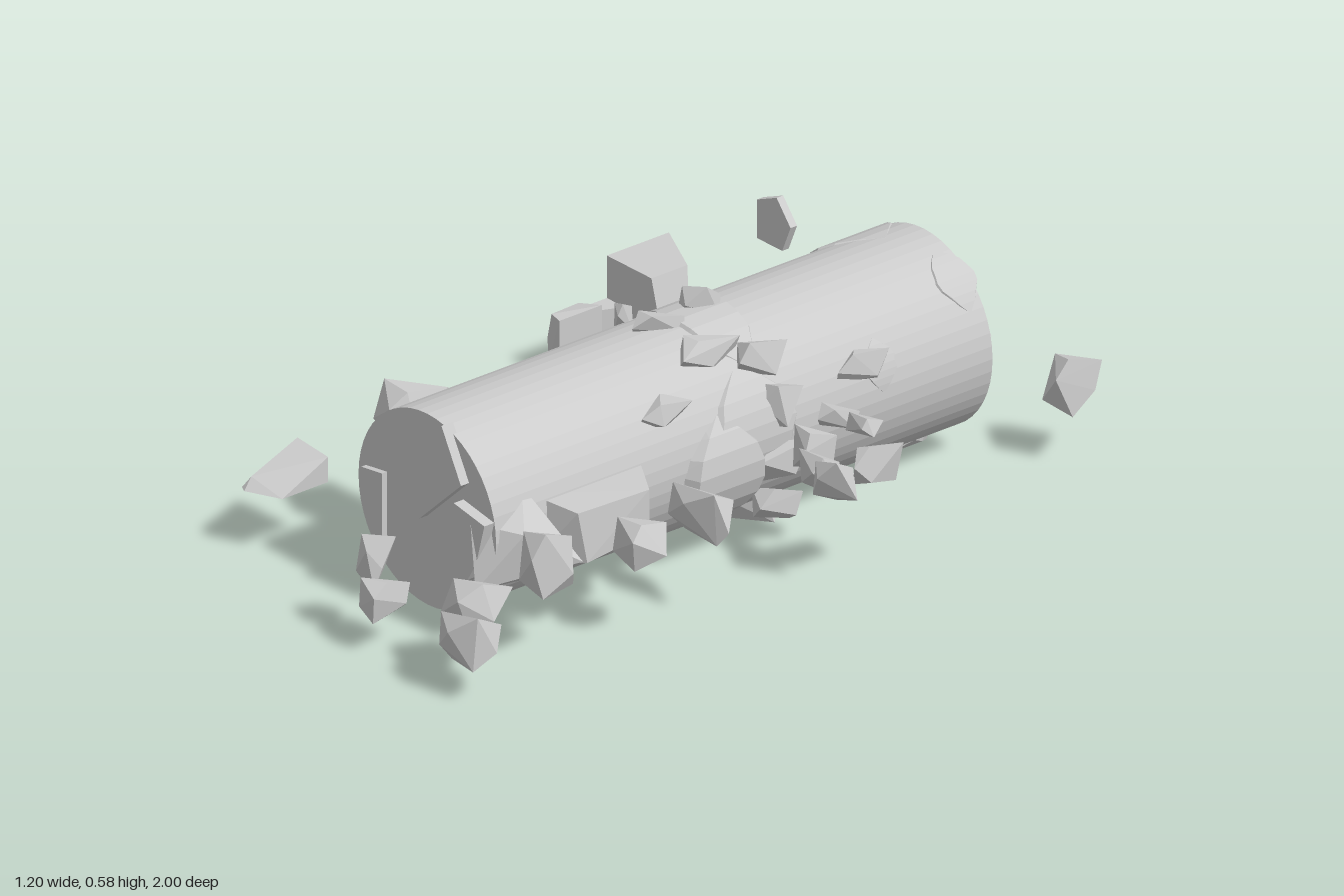
import * as THREE from 'three';
import { ConvexGeometry } from 'three/addons/geometries/ConvexGeometry.js';

const CX = 0.01, CY = 0.277, R = 0.247;
const mat = new THREE.MeshStandardMaterial({ color: 0xcccccc, flatShading: true });

function seeded(s) {
  const next = () => {
    s = (s * 16807) % 2147483647;
    return s / 2147483647;
  };
  for (let i = 0; i < 5; i++) next();
  return next;
}

function addHull(parent, name, pts) {
  const mesh = new THREE.Mesh(new ConvexGeometry(pts.map(p => new THREE.Vector3(...p))), mat);
  mesh.name = name;
  parent.add(mesh);
}

// Blocky angular chunk that exactly fills the box x0..x1, y0..y1, z0..z1
function chunk(parent, name, [x0, x1, y0, y1, z0, z1], seed, count = 10) {
  const rnd = seeded(seed * 7919 + 13);
  const boxy = c => Math.sign(c) * Math.abs(c) ** 0.7;
  const pts = [];
  for (let i = 0; i < count; i++) {
    const h = 1 - (2 * (i + 0.5)) / count, a = i * 2.4 + rnd() * 0.9, r = Math.sqrt(1 - h * h);
    const k = 0.85 + 0.3 * rnd();
    pts.push(new THREE.Vector3(boxy(r * Math.cos(a)), boxy(h), boxy(r * Math.sin(a))).multiplyScalar(k));
  }
  const b = new THREE.Box3().setFromPoints(pts), s = b.getSize(new THREE.Vector3());
  addHull(parent, name, pts.map(p => [
    x0 + (p.x - b.min.x) / s.x * (x1 - x0),
    y0 + (p.y - b.min.y) / s.y * (y1 - y0),
    z0 + (p.z - b.min.z) / s.z * (z1 - z0),
  ]));
}

// Curved plate rooted in the cylinder: angles in degrees (0 = +x, 90 = up), rounded ragged ends
function plate(parent, name, a0, a1, z0, z1, r, seed) {
  const rnd = seeded(seed * 104729 + 7), pts = [], n = 8;
  for (let i = 0; i <= n; i++) {
    const t = i / n, a = THREE.MathUtils.degToRad(a0 + (a1 - a0) * t);
    const inset = (0.35 * (2 * t - 1) ** 2 + 0.06 * rnd()) * (z1 - z0);
    const lift = r - (r - R) * (2 * t - 1) ** 2;
    for (const [radius, cut] of [[lift, inset + 0.1 * (z1 - z0)], [0.9 * R, inset]]) {
      const x = CX + radius * Math.cos(a), y = CY + radius * Math.sin(a);
      pts.push([x, y, z0 + cut], [x, y, z1 - cut]);
    }
  }
  addHull(parent, name, pts);
}

// Flat polygon in x,y given a thickness in z
function slab(parent, name, outline, z0, z1) {
  addHull(parent, name, outline.flatMap(([x, y]) => [[x, y, z0], [x, y, z1]]));
}

// Flat polygon in x,z given a height in y
function block(parent, name, outline, y0, y1) {
  addHull(parent, name, outline.flatMap(([x, z]) => [[x, y0, z], [x, y1, z]]));
}

export function createModel() {
  const model = new THREE.Group();
  const group = name => {
    const g = new THREE.Group();
    g.name = name;
    model.add(g);
    return g;
  };

  // Main column lying along z
  const column = new THREE.Mesh(new THREE.CylinderGeometry(R, R, 1.52, 48), mat);
  column.name = 'column';
  column.rotation.x = Math.PI / 2;
  column.position.set(CX, CY, -0.01);
  model.add(column);

  // Loose rubble around the column
  const rubble = group('rubble');
  [
    [-0.25, -0.11, 0.07, 0.2, -0.95, -0.83],
    [0.3, 0.4, 0.13, 0.28, -1, -0.86],
    [-0.4, -0.27, 0.27, 0.4, 0.43, 0.59],
    [0.31, 0.51, 0.19, 0.33, 0.21, 0.29],
    [0.36, 0.49, 0.17, 0.31, 0.39, 0.51],
    [0.31, 0.41, 0.15, 0.34, 0.62, 0.75],
    [0.26, 0.41, 0.12, 0.26, 0.79, 0.95],
    [0.32, 0.47, 0.08, 0.22, 0.88, 1],
    [0.02, 0.11, 0.08, 0.18, 0.88, 0.99],
    [-0.02, 0.05, 0.12, 0.27, 0.87, 0.96],
  ].forEach((b, i) => chunk(rubble, 'rubbleChunk', b, i + 1));

  // Large blocks and thin slabs with flat cut sides
  addHull(rubble, 'largeBlock', [
    [-0.6, 0.37, -0.51], [-0.44, 0.37, -0.43], [-0.44, 0.37, -0.32], [-0.6, 0.37, -0.32],
    [-0.41, 0.26, -0.41], [-0.41, 0.26, -0.32], [-0.6, 0.2, -0.51], [-0.46, 0.17, -0.42],
    [-0.46, 0.18, -0.32], [-0.6, 0.17, -0.32],
  ]);
  block(rubble, 'largeBlockSpur', [[-0.6, -0.34], [-0.53, -0.34], [-0.57, -0.24], [-0.6, -0.24]], 0.15, 0.26);
  addHull(rubble, 'sideBlock', [
    [-0.45, 0.31, -0.01], [-0.42, 0.39, -0.08], [-0.42, 0.28, -0.08], [-0.4, 0.4, 0.02],
    [-0.36, 0.4, -0.1], [-0.36, 0.4, 0.03], [-0.36, 0.28, -0.1], [-0.36, 0.28, 0.03], [-0.41, 0.28, 0.02],
  ]);
  slab(rubble, 'backFlake', [[-0.6, 0.27], [-0.6, 0.37], [-0.53, 0.4], [-0.48, 0.34], [-0.51, 0.27]], -0.8, -0.78);
  addHull(rubble, 'frontSlab', [
    [-0.55, 0.155, 0.67], [-0.44, 0.155, 0.67], [-0.44, 0.155, 0.81], [-0.53, 0.155, 0.85], [-0.55, 0.155, 0.84],
    [-0.55, 0.23, 0.67], [-0.44, 0.22, 0.67], [-0.54, 0.18, 0.82],
  ]);

  // Broken ring of small shards
  const ring = group('shardRing');
  [
    [0.35, 0.44, 0.33, 0.4, -0.22, -0.12],
    [0.35, 0.43, 0.24, 0.36, -0.15, -0.06],
    [0.42, 0.52, 0.34, 0.4, -0.22, -0.16],
    [0.4, 0.51, 0.22, 0.33, -0.1, -0.03],
    [0.49, 0.6, 0.23, 0.36, -0.08, 0],
    [0.55, 0.6, 0.26, 0.38, -0.22, -0.06],
  ].forEach((b, i) => chunk(ring, 'ringShard', b, i + 31, 8));

  // Surface plates: lifted skin around the crack and near the ends
  const plates = group('surfacePlates');
  [
    [45, 130, -0.19, 0.03, 0.256],
    [-20, 45, -0.2, 0.1, 0.262],
    [-50, 25, -0.09, 0.2, 0.285],
    [125, 185, -0.15, 0.1, 0.256],
    [170, 232, 0, 0.32, 0.258],
    [235, 300, -0.2, 0.25, 0.256],
    [95, 170, -0.81, -0.53, 0.252],
    [30, 70, -0.8, -0.66, 0.252],
    [230, 300, -0.79, -0.48, 0.277],
    [5, 35, -0.5, -0.38, 0.25],
  ].forEach(([a0, a1, z0, z1, r], i) => plate(plates, 'surfacePlate', a0, a1, z0, z1, r, i + 3));

  // Small shards sticking out of the crack and sides
  const shards = group('embeddedShards');
  [
    [-0.07, 0.02, 0.48, 0.58, -0.17, -0.06],
    [-0.04, 0.04, 0.48, 0.565, -0.02, 0.11],
    [0.1, 0.17, 0.44, 0.54, -0.08, 0.1],
    [0.14, 0.23, 0.4, 0.52, -0.18, -0.04],
    [-0.14, -0.1, 0.46, 0.54, 0.02, 0.06],
    [0.2, 0.29, 0.3, 0.42, -0.19, -0.08],
    [0.2, 0.28, 0.16, 0.28, -0.2, -0.05],
    [0.18, 0.27, 0.05, 0.15, -0.18, -0.06],
    [0.17, 0.24, 0.39, 0.46, 0.13, 0.27],
    [0.08, 0.2, 0.01, 0.12, -0.2, -0.08],
    [0.22, 0.262, 0.33, 0.42, -0.46, -0.3],
  ].forEach((b, i) => chunk(shards, 'embeddedShard', b, i + 61, 8));

  // Side wedges
  addHull(shards, 'rightWedge', [
    [0.2, 0.2, 0.27], [0.2, 0.34, 0.27], [0.35, 0.22, 0.36], [0.35, 0.33, 0.36],
    [0.35, 0.2, 0.55], [0.34, 0.33, 0.57], [0.22, 0.17, 0.62], [0.2, 0.34, 0.6],
  ]);
  addHull(shards, 'rightFrontWedge', [
    [0.2, 0.12, 0.6], [0.37, 0.22, 0.58], [0.22, 0.38, 0.64], [0.3, 0.3, 0.7], [0.23, 0.16, 0.79], [0.2, 0.32, 0.78],
  ]);
  addHull(shards, 'leftSpike', [
    [-0.32, 0.25, 0.5], [-0.2, 0.32, 0.42], [-0.2, 0.17, 0.43], [-0.21, 0.22, 0.58], [-0.25, 0.3, 0.55],
  ]);
  addHull(shards, 'lowerLeftSpike', [
    [-0.26, 0.08, 0.15], [-0.23, 0.19, 0.02], [-0.23, 0.19, 0.3], [-0.05, 0.03, -0.02], [-0.05, 0.03, 0.34], [-0.18, 0.04, 0.2],
  ]);

  // Flakes on the two end faces
  const flakes = group('endFlakes');
  slab(flakes, 'frontUpperFlake', [[-0.01, 0.4], [0.09, 0.53], [0.16, 0.4], [0.01, 0.26]], 0.74, 0.775);
  slab(flakes, 'frontLeftFlake', [[-0.21, 0.31], [-0.135, 0.32], [-0.135, 0.12], [-0.19, 0.17], [-0.21, 0.24]], 0.7, 0.765);
  slab(flakes, 'frontRightFlake', [[0.14, 0.35], [0.25, 0.33], [0.22, 0.22], [0.19, 0.17]], 0.72, 0.78);
  slab(flakes, 'frontRightFlakeTip', [[0.19, 0.17], [0.22, 0.22], [0.14, 0.12]], 0.72, 0.77);
  slab(flakes, 'backUpperFlake', [[0.23, 0.32], [0.2, 0.36], [0.06, 0.37], [0, 0.31], [0.1, 0.28]], -0.79, -0.76);
  slab(flakes, 'backLowerFlake', [[-0.14, 0.17], [-0.02, 0.2], [0.08, 0.13], [0, 0.06], [-0.12, 0.08]], -0.8, -0.76);
  return model;
}
